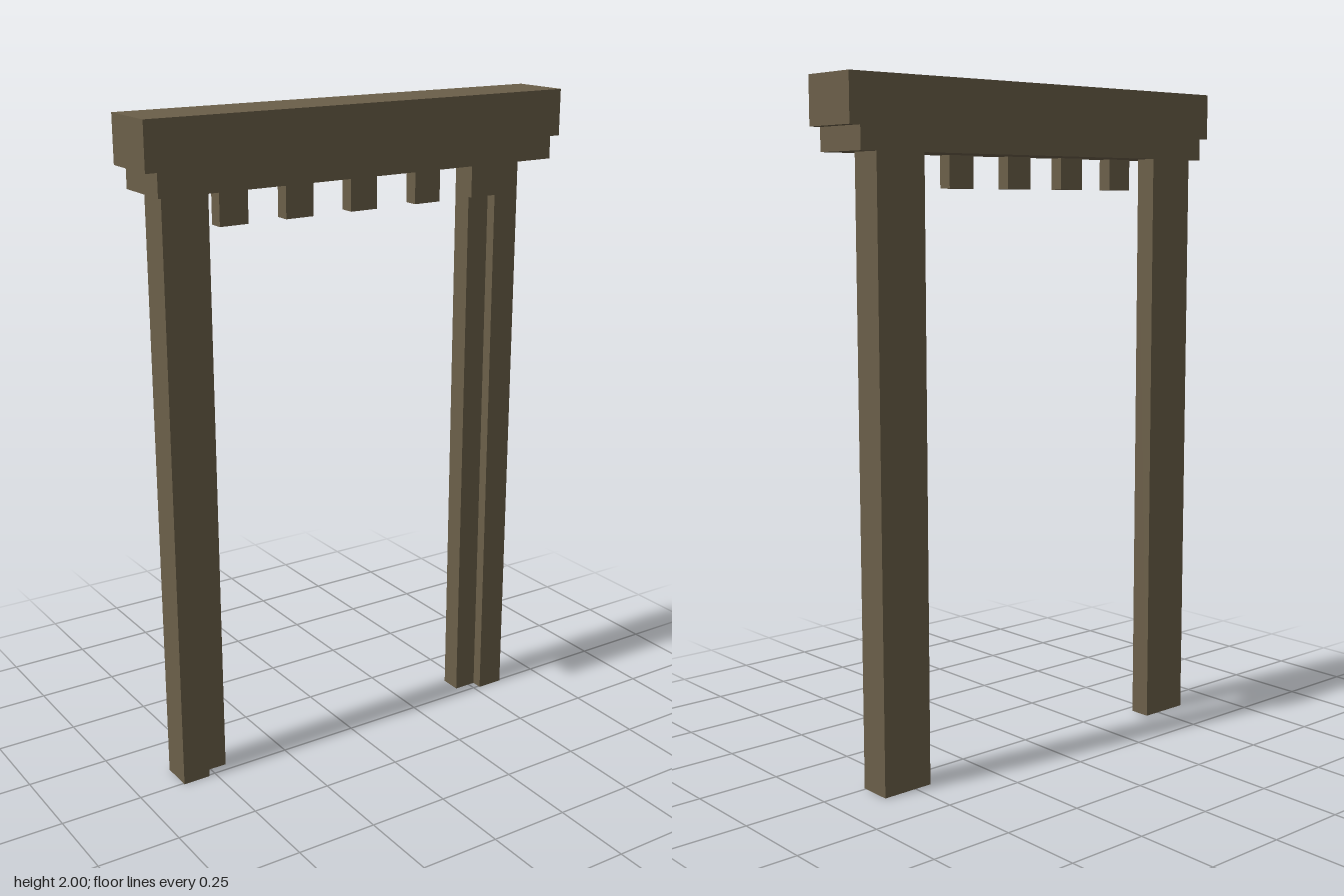
import * as THREE from 'three';

export function createModel() {
  const group = new THREE.Group();
  const wood = new THREE.MeshStandardMaterial({ color: 0x6b5f49, flatShading: true });

  // Box given by its min and max on each axis
  function block(name, [x0, x1], [y0, y1], [z0, z1]) {
    const mesh = new THREE.Mesh(new THREE.BoxGeometry(x1 - x0, y1 - y0, z1 - z0), wood);
    mesh.position.set((x0 + x1) / 2, (y0 + y1) / 2, (z0 + z1) / 2);
    mesh.name = name;
    group.add(mesh);
  }

  // Stepped lintel: one profile extruded through the full depth
  const lintel = new THREE.Shape([
    [-0.658, 1.795], [0.658, 1.795], [0.658, 1.862], [0.692, 1.862],
    [0.692, 2], [-0.692, 2], [-0.692, 1.862], [-0.658, 1.862],
  ].map(([x, y]) => new THREE.Vector2(x, y)));
  const lintelGeometry = new THREE.ExtrudeGeometry(lintel, { depth: 0.188, bevelEnabled: false });
  lintelGeometry.translate(0, 0, -0.094);
  const lintelMesh = new THREE.Mesh(lintelGeometry, wood);
  lintelMesh.name = 'lintel';
  group.add(lintelMesh);

  // Posts with an L-shaped section: the inner half is rebated at the front
  for (const side of [1, -1]) {
    const section = new THREE.Shape([
      [0.447, 0.094], [0.607, 0.094], [0.607, -0.006],
      [0.521, -0.006], [0.521, 0.028], [0.447, 0.028],
    ].map(([x, y]) => new THREE.Vector2(x * side, y)));
    const geometry = new THREE.ExtrudeGeometry(section, { depth: 1.795, bevelEnabled: false });
    geometry.rotateX(-Math.PI / 2);
    const post = new THREE.Mesh(geometry, wood);
    post.name = side > 0 ? 'leftPost' : 'rightPost';
    group.add(post);
  }

  // Row of small dentil blocks hanging under the front of the lintel
  [-0.428, -0.221, -0.008, 0.213, 0.418].forEach((x, i) =>
    block(`dentil${i + 1}`, [x - 0.044, x + 0.044], [1.7, 1.8], [0.036, 0.08]));

  return group;
}
